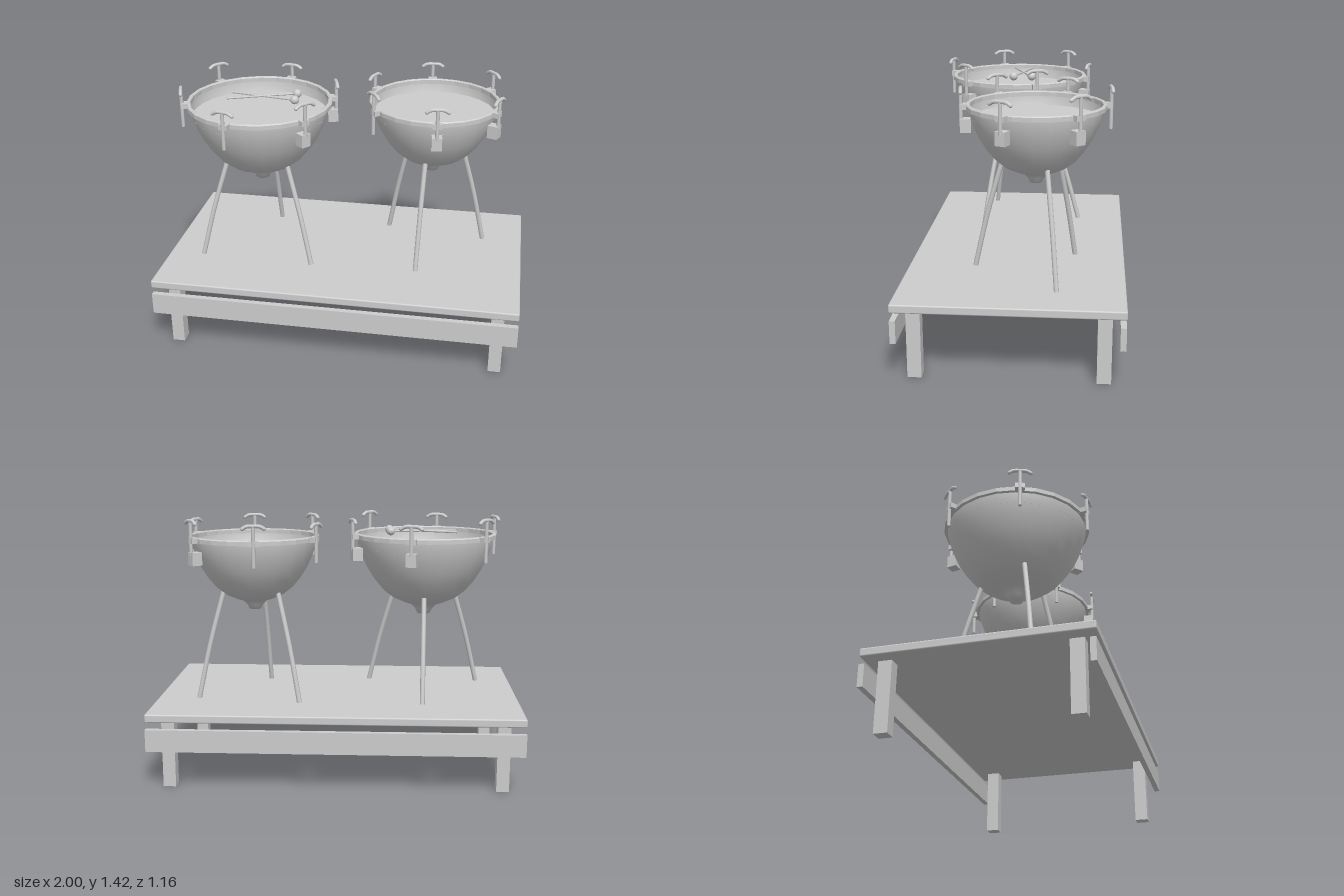
import * as THREE from 'three';
import { RoundedBoxGeometry } from 'three/addons/geometries/RoundedBoxGeometry.js';

const grey = new THREE.MeshStandardMaterial({ color: 0xcccccc, side: THREE.DoubleSide });
grey.name = 'plain grey';

const RIM_Y = 1.32, TABLE_Y = 0.42;
const V = (x, y, z) => new THREE.Vector3(x, y, z);

function add(parent, name, geometry, x = 0, y = 0, z = 0) {
  const mesh = new THREE.Mesh(geometry, grey);
  mesh.name = name;
  mesh.position.set(x, y, z);
  parent.add(mesh);
  return mesh;
}

function lathe(points, segments = 24) {
  return new THREE.LatheGeometry(points.map(([r, y]) => new THREE.Vector2(r, y)), segments);
}

// Group turned so its local +x points outwards at the given angle
function spoke(parent, name, degrees) {
  const g = new THREE.Group();
  g.name = name;
  g.rotation.y = -THREE.MathUtils.degToRad(degrees);
  parent.add(g);
  return g;
}

// Straight round rod between two points
function rod(parent, name, a, b, radius) {
  const mesh = add(parent, name, new THREE.CylinderGeometry(radius, radius, a.distanceTo(b), 8));
  mesh.position.copy(a).lerp(b, 0.5);
  mesh.quaternion.setFromUnitVectors(V(0, 1, 0), b.clone().sub(a).normalize());
}

function createTable() {
  const table = new THREE.Group();
  table.name = 'table';
  add(table, 'tableTop', new RoundedBoxGeometry(2, 0.045, 1.16, 2, 0.008), 0, 0.3975, 0);
  for (const sz of [-1, 1]) {
    add(table, 'sideRail', new THREE.BoxGeometry(2, 0.12, 0.03), 0, 0.275, sz * 0.563);
    for (const sx of [-1, 1])
      add(table, 'tableLeg', new THREE.BoxGeometry(0.068, 0.376, 0.072), sx * 0.892, 0.188, sz * 0.475);
  }
  return table;
}

// T-shaped tuning key with its rod, rim tab and optional bracket on the bowl
function tuningKey(drum, degrees, radius, top, hasBracket) {
  const key = spoke(drum, 'tuningKey', degrees);
  const bottom = hasBracket ? -0.09 : -0.135;
  add(key, 'keyRod', new THREE.CylinderGeometry(0.01, 0.01, top - bottom, 8), radius, (top + bottom) / 2, 0);
  const arch = new THREE.CatmullRomCurve3([
    V(radius, top - 0.01, -0.056), V(radius, top + 0.002, -0.035), V(radius, top + 0.004, 0),
    V(radius, top + 0.002, 0.035), V(radius, top - 0.01, 0.056)]);
  add(key, 'keyHandle', new THREE.TubeGeometry(arch, 12, 0.01, 8));
  for (const s of [-1, 1])
    add(key, 'handleEnd', new THREE.SphereGeometry(0.01, 8, 6), radius, top - 0.01, s * 0.056);
  add(key, 'rimTab', new THREE.BoxGeometry(0.04, 0.028, 0.05), radius - 0.015, -0.013, 0);
  if (hasBracket)
    add(key, 'bowlBracket', new THREE.BoxGeometry(0.056, 0.07, 0.055), radius - 0.022, -0.11, 0);
}

function createDrum(x, z, size, keyAngle, keyTops, legAngle) {
  const drum = new THREE.Group();
  drum.name = 'kettledrum';
  drum.position.set(x, RIM_Y, z);

  // Bowl with its drain nub, open at the top
  const bowl = add(drum, 'bowl', lathe([
    [0, -0.46], [0.036, -0.458], [0.05, -0.43], [0.075, -0.405], [0.115, -0.392], [0.18, -0.363],
    [0.235, -0.32], [0.285, -0.26], [0.325, -0.195], [0.355, -0.13], [0.375, -0.07], [0.383, -0.02], [0.383, 0]]));
  const hoop = add(drum, 'rimHoop', lathe([
    [0.377, -0.026], [0.4, -0.026], [0.4, -0.004], [0.393, 0.002], [0.383, 0.002], [0.377, -0.003], [0.377, -0.026]]
  ).toNonIndexed());
  hoop.geometry.computeVertexNormals();
  const skin = add(drum, 'drumSkin', new THREE.CircleGeometry(0.372, 24).rotateX(-Math.PI / 2), 0, -0.08 * size, 0);
  bowl.scale.setScalar(size);
  hoop.scale.set(size, 1, size);
  skin.scale.set(size, 1, size);

  // Six keys around the rim; only the first three carry a bracket
  for (let i = 0; i < 6; i++)
    tuningKey(drum, keyAngle + i * 60, 0.4 * size + 0.023, keyTops[i % 3], i < 3);

  // Three gently bowed legs
  for (let i = 0; i < 3; i++) {
    const leg = spoke(drum, 'drumLeg', legAngle + i * 120);
    const top = V(0.195 * size, -0.33 * size, 0), foot = V(0.365 * size + 0.002, TABLE_Y - RIM_Y, 0);
    const middle = top.clone().lerp(foot, 0.5).add(V(0.008, 0, 0));
    const path = new THREE.CatmullRomCurve3([top, middle, foot]);
    add(leg, 'legTube', new THREE.TubeGeometry(path, 8, 0.0135, 8));
  }
  return drum;
}

function createMallets() {
  const mallets = new THREE.Group();
  mallets.name = 'mallets';
  for (const [z0, x1, z1] of [[-0.01, -0.28, 0.075], [0.095, -0.288, -0.03]]) {
    const head = V(x1, 1.335, z1);
    rod(mallets, 'malletStick', V(-0.655, 1.328, z0), head, 0.006);
    add(mallets, 'malletHead', new THREE.SphereGeometry(0.024, 16, 12), head.x, head.y, head.z);
  }
  return mallets;
}

export function createModel() {
  const model = new THREE.Group();
  model.name = 'kettledrumsOnTable';
  model.add(
    createTable(),
    createDrum(-0.48, 0.055, 1, -78, [0.065, 0.075, 0.088], 32),
    createDrum(0.465, -0.105, 0.9, -37, [0.088, 0.066, 0.075], 98),
    createMallets());
  return model;
}
